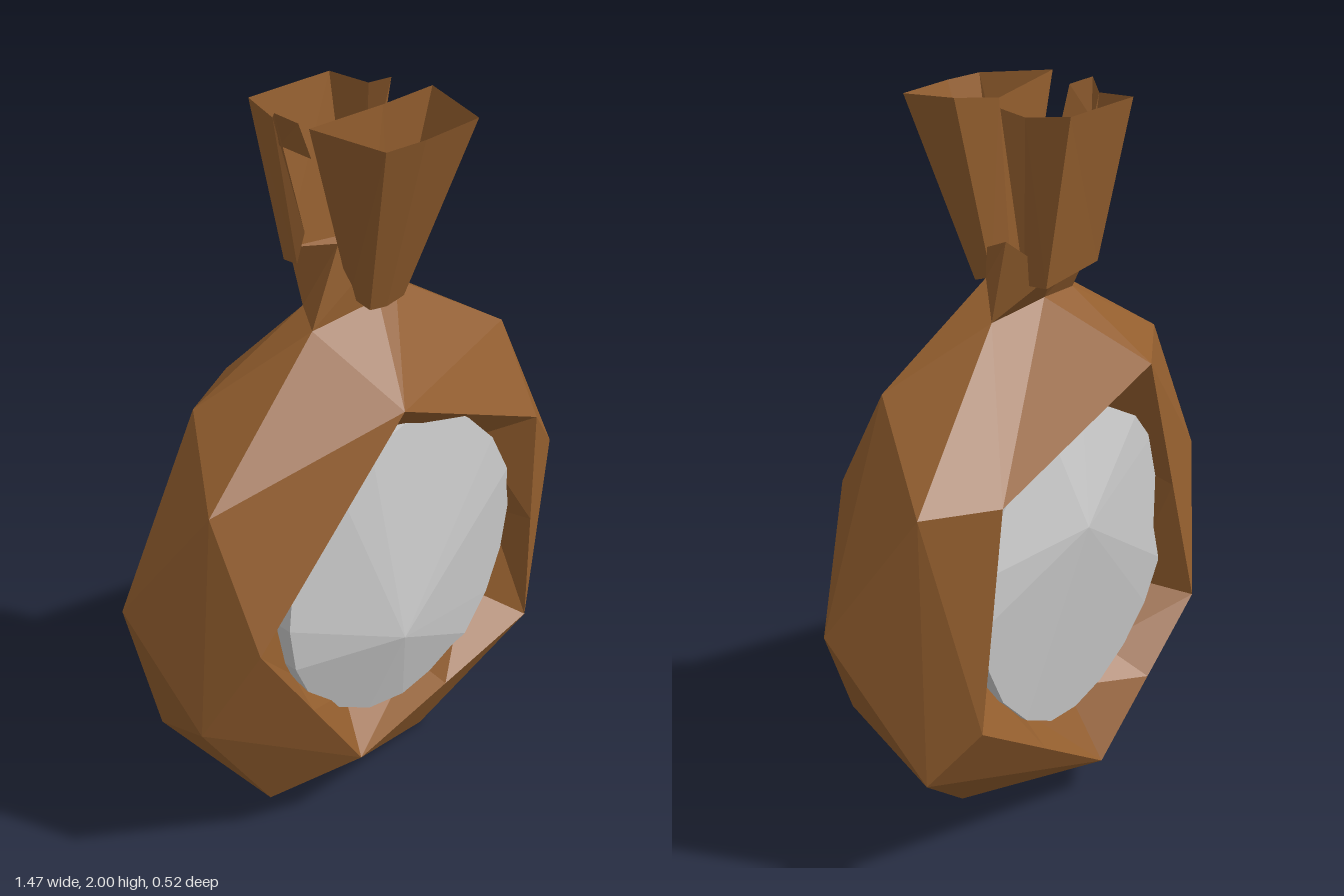
import * as THREE from 'three';
import { ConvexGeometry } from 'three/addons/geometries/ConvexGeometry.js';

const leather = new THREE.MeshStandardMaterial({ color: 0x935e2e, flatShading: true, side: THREE.DoubleSide });
leather.name = 'brown leather';
const silver = new THREE.MeshStandardMaterial({ color: 0xcacaca, flatShading: true });
silver.name = 'pale grey';

const CY = 0.737; // height of the opening's centre
const vec = (p) => new THREE.Vector3(...p);

// Flat-shaded triangles from a list of Vector3
function triangles(points) {
  const g = new THREE.BufferGeometry().setFromPoints(points);
  g.computeVertexNormals();
  return g;
}

// Quad strip between two rows of points of equal length
function strip(lower, upper, closed) {
  const out = [], n = lower.length;
  for (let i = 0; i < (closed ? n : n - 1); i++) {
    const j = (i + 1) % n;
    out.push(lower[i], lower[j], upper[j], lower[i], upper[j], upper[i]);
  }
  return triangles(out);
}

function add(group, name, geometry, material) {
  const m = new THREE.Mesh(geometry, material);
  m.name = name;
  group.add(m);
  return m;
}

// Disc: a low five-sided pyramid trimmed to a round rim, repeated point-symmetrically on the back
function discGeometry() {
  const peak = vec([-0.07, -0.165, 0.26]);
  const spokes = [[0.39, 0.16], [-0.2, 0.39], [-0.41, -0.08], [-0.08, -0.43], [0.27, -0.35]]
    .map(([x, y]) => new THREE.Vector2(x - peak.x, y - peak.y));
  const points = [peak, peak.clone().negate()];
  for (let i = 0; i < 20; i++) {
    const a = (i / 20) * Math.PI * 2;
    const x = 0.42 * Math.cos(a), y = 0.44 * Math.sin(a);
    const d = new THREE.Vector2(x - peak.x, y - peak.y);
    // The lowest of the five sloping planes gives the height of the rim
    const drop = Math.max(...spokes.map((s, k) => {
      const t = spokes[(k + 1) % 5];
      return (d.cross(t) + s.cross(d)) / s.cross(t);
    }));
    const p = new THREE.Vector3(x, y, peak.z - 0.065 * drop);
    points.push(p, p.clone().negate());
  }
  return new ConvexGeometry(points);
}

export function createModel() {
  const model = new THREE.Group();
  model.name = 'pouch';

  // Five-cornered openings, anticlockwise as seen from the front
  const frontRim = [[-0.07, 1.27], [-0.57, 0.77], [-0.22, 0.23], [0.45, 0.37], [0.45, 1.04]]
    .map(([x, y]) => new THREE.Vector3(x, y, 0.245));
  const backRim = [
    [-0.23, 1.26, -0.25], [-0.49, 0.46, -0.255], [-0.06, 0.105, -0.23], [0.52, 0.5, -0.25], [0.43, 1.09, -0.25],
  ].map(vec);

  // Widest corners of the sack, and the gathered shoulder under the neck
  const outer = [
    [0.2, 0, 0.07], [0.61, 0.35, -0.14], [0.735, 0.77, 0.07], [0.62, 1.1, -0.14],
    [0.43, 1.3, 0.12], [-0.45, 1.28, -0.12], [-0.61, 1.14, 0.12], [-0.735, 0.82, -0.09],
    [-0.67, 0.5, 0.12], [-0.6, 0.35, -0.14], [-0.42, 0.11, 0.09],
  ].map(vec);
  const shoulder = [
    [-0.2, 1.47, 0.05], [0, 1.5, 0.08], [0.08, 1.52, 0.06],
    [0.19, 1.45, -0.04], [0.02, 1.48, -0.08], [-0.12, 1.47, -0.07],
  ].map(vec);

  // Sack: convex shell with the front and back faces left open
  const hull = new ConvexGeometry([...frontRim, ...backRim, ...outer, ...shoulder]);
  const pos = hull.getAttribute('position');
  const kept = [];
  for (let i = 0; i < pos.count; i += 3) {
    const t = [0, 1, 2].map((k) => new THREE.Vector3().fromBufferAttribute(pos, i + k));
    const open = t.every((p) => p.z > 0.22) || t.every((p) => p.z < -0.22);
    if (!open) kept.push(...t);
  }
  add(model, 'sack', triangles(kept), leather);

  // Recessed walls between each opening and the disc
  const wall = (name, rim, z) => {
    const edge = rim.flatMap((p, i) => [p, p.clone().lerp(rim[(i + 1) % 5], 0.5)]);
    const inner = edge.map((p) => {
      const a = Math.atan2(p.y - CY, p.x);
      return new THREE.Vector3(0.41 * Math.cos(a), CY + 0.42 * Math.sin(a), z);
    });
    add(model, name, strip(edge, inner, true), leather);
  };
  wall('frontOpening', frontRim, 0.12);
  wall('backOpening', backRim, -0.12);

  add(model, 'disc', discGeometry(), silver).position.y = CY;

  // Tied collar
  const collarTop = [
    [-0.1, 1.67, 0.04], [-0.02, 1.6, 0.07], [0.08, 1.6, 0.06],
    [0.17, 1.66, -0.07], [0.08, 1.57, -0.15], [-0.1, 1.6, -0.14],
  ].map(vec);
  add(model, 'collar', strip(shoulder, collarTop, true), leather);

  // Front fold of cloth: a flared funnel
  add(model, 'frontFold', strip(
    [[-0.07, 1.52, 0.05], [-0.06, 1.5, 0.11], [0, 1.49, 0.11], [0.06, 1.5, 0.11], [0.07, 1.52, 0.05], [0, 1.53, 0.04]].map(vec),
    [[-0.21, 2, 0.06], [-0.15, 1.98, 0.25], [-0.03, 1.98, 0.26], [0.16, 1.98, 0.25], [0.2, 2, 0.06], [0.06, 1.98, 0.03]].map(vec),
    true,
  ), leather);

  // Back fold: a flared trough open to the front
  add(model, 'backFold', strip(
    [[-0.1, 1.66, -0.08], [-0.11, 1.57, -0.1], [-0.1, 1.56, -0.16], [0.14, 1.55, -0.17], [0.12, 1.54, -0.09], [0.1, 1.64, -0.09]].map(vec),
    [[-0.2, 2, -0.07], [-0.17, 1.97, -0.11], [-0.14, 1.98, -0.23], [0.13, 1.98, -0.23], [0.16, 1.97, -0.12], [0.19, 1.99, -0.07]].map(vec),
  ), leather);

  // Loose corner of the back fold
  add(model, 'foldCorner', strip(
    [[-0.16, 1.9, -0.1], [-0.13, 1.88, -0.02]].map(vec),
    [[-0.2, 2, -0.07], [-0.17, 1.98, -0.02]].map(vec),
  ), leather);

  return model;
}
